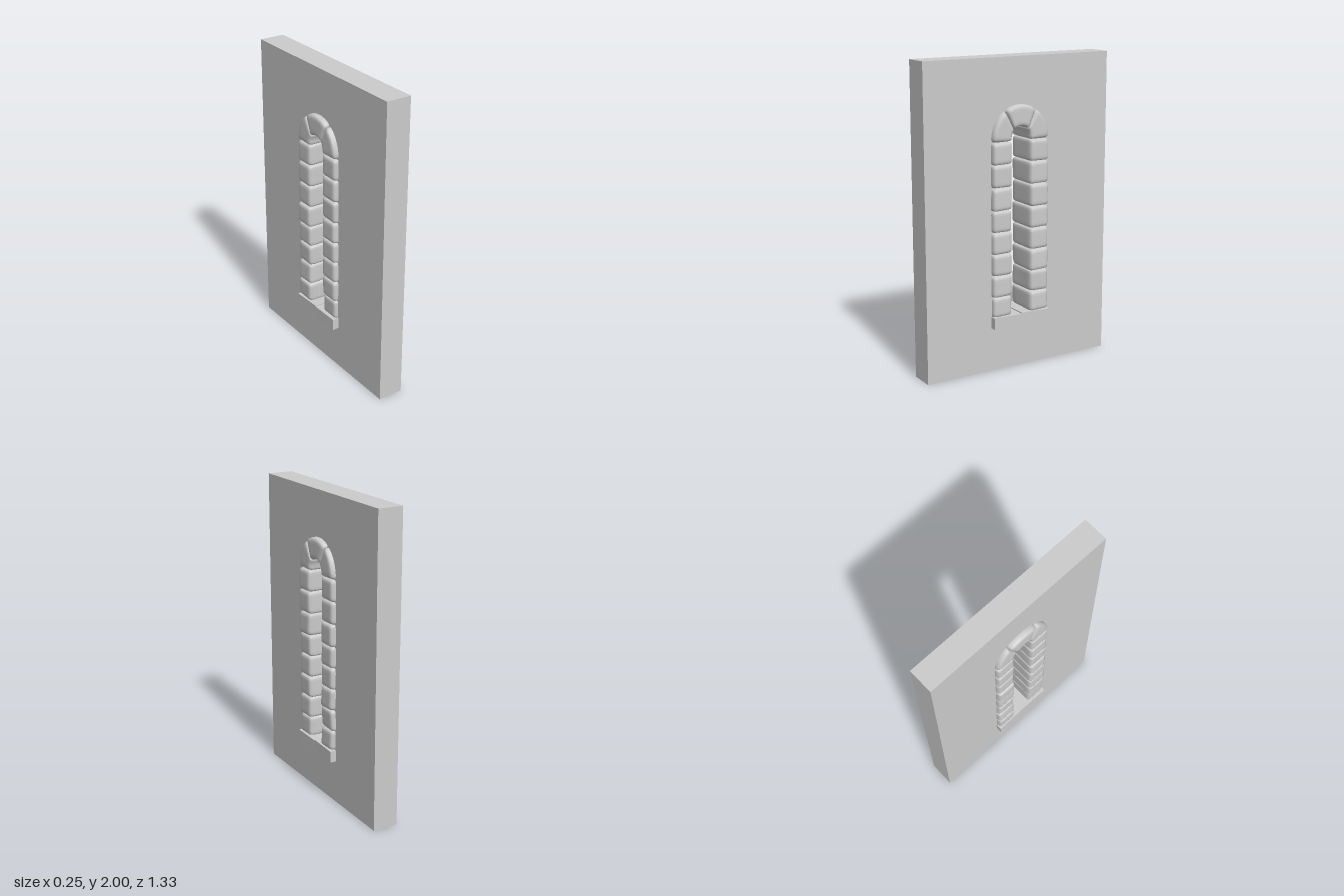
import * as THREE from 'three';
import { mergeVertices } from 'three/addons/utils/BufferGeometryUtils.js';

const material = new THREE.MeshStandardMaterial({ color: 0xcccccc });
const SPRING = 1.48; // height where the arch starts

// Small seeded wobble in -1..1
let seed = 7;
function wobble() {
  seed = (seed * 16807) % 2147483647;
  return (seed / 2147483647) * 2 - 1;
}

function addMesh(parent, geometry, name) {
  const mesh = new THREE.Mesh(geometry, material);
  mesh.name = name;
  parent.add(mesh);
  return mesh;
}

// Softly rounded block in -1..1, bent into place by a rule (depth, along, outward) -> position
function stoneGeometry(place) {
  let geo = new THREE.BoxGeometry(2, 2, 2, 10, 12, 10);
  geo.deleteAttribute('uv');
  geo.deleteAttribute('normal');
  geo = mergeVertices(geo);
  const pos = geo.attributes.position;
  const p = new THREE.Vector3();
  for (let i = 0; i < pos.count; i++) {
    p.fromBufferAttribute(pos, i);
    const n = 10;
    const len = Math.pow(Math.abs(p.x) ** n + Math.abs(p.y) ** n + Math.abs(p.z) ** n, 1 / n);
    p.divideScalar(len);
    pos.setXYZ(i, ...place(p.x, p.y, p.z));
  }
  geo.computeVertexNormals();
  return geo;
}

// Point on a slightly squared half ellipse above the spring line
function archPoint(angle, a, b, power) {
  const c = Math.cos(angle), s = Math.sin(angle);
  return [
    Math.sign(c) * a * Math.abs(c) ** power,
    SPRING + Math.sign(s) * b * Math.abs(s) ** power,
  ];
}

// Wall slab with an arched opening hidden behind the stones
function wallGeometry() {
  const shape = new THREE.Shape();
  shape.moveTo(-0.665, 0).lineTo(0.665, 0).lineTo(0.665, 2).lineTo(-0.665, 2).closePath();
  const hole = new THREE.Path();
  hole.moveTo(-0.135, 0.32);
  hole.lineTo(-0.135, SPRING);
  hole.absellipse(0, SPRING, 0.135, 0.155, Math.PI, 0, true);
  hole.lineTo(0.135, 0.32);
  hole.closePath();
  shape.holes.push(hole);
  const geo = new THREE.ExtrudeGeometry(shape, { depth: 0.166, bevelEnabled: false, curveSegments: 24 });
  return geo.translate(0, 0, -0.083).rotateY(-Math.PI / 2);
}

// Stacked stones on both sides of the opening
function addJambs(group) {
  const rows = [0.36, 0.49, 0.63, 0.77, 0.91, 1.05, 1.195, 1.34, 1.48];
  for (const side of [1, -1]) {
    for (let i = 0; i < rows.length - 1; i++) {
      const mid = (rows[i] + rows[i + 1]) / 2;
      const half = (rows[i + 1] - rows[i]) / 2;
      const depth = 0.115 + 0.004 * wobble();
      const shift = 0.003 * wobble();
      const tilt = 0.003 * wobble();
      const width = 0.068 + 0.002 * wobble();
      const geo = stoneGeometry((x, y, z) => [
        x * depth + shift + tilt * y,
        mid + y * half + tilt * z,
        side * 0.136 + z * width + tilt * y * x,
      ]);
      addMesh(group, geo, `${side > 0 ? 'front' : 'back'}JambStone${i + 1}`);
    }
  }
}

// Two curved shoulder stones and a wedge keystone
function addArch(group) {
  const rad = Math.PI / 180;
  const stones = [
    { name: 'frontShoulderStone', inner: [0, 45], outer: [0, 58], depth: 0.117 },
    { name: 'keystone', inner: [45, 135], outer: [58, 122], depth: 0.12 },
    { name: 'backShoulderStone', inner: [135, 180], outer: [122, 180], depth: 0.115 },
  ];
  for (const { name, inner, outer, depth } of stones) {
    const geo = stoneGeometry((x, y, z) => {
      const t = (y + 1) / 2;
      const k = (z + 1) / 2;
      const a = archPoint(THREE.MathUtils.lerp(...inner, t) * rad, 0.067, 0.09, 0.8);
      const b = archPoint(THREE.MathUtils.lerp(...outer, t) * rad, 0.204, 0.225, 0.96);
      return [
        x * depth,
        THREE.MathUtils.lerp(a[1], b[1], k),
        THREE.MathUtils.lerp(a[0], b[0], k),
      ];
    });
    addMesh(group, geo, name);
  }
}

// Two rough-cut slabs meeting in the middle
function addSill(group) {
  for (const side of [1, -1]) {
    const geo = new THREE.BoxGeometry(0.248, 0.076, 0.206);
    const pos = geo.attributes.position;
    for (let i = 0; i < pos.count; i++) {
      const outerEnd = pos.getZ(i) * side > 0;
      const skew = outerEnd ? 0.002 : -0.003;
      pos.setY(i, pos.getY(i) + skew * side);
      if (!outerEnd) pos.setX(i, pos.getX(i) * 0.98);
    }
    geo.computeVertexNormals();
    const slab = addMesh(group, geo, side > 0 ? 'frontSillSlab' : 'backSillSlab');
    slab.position.set(0, 0.323, side * 0.103);
  }
}

export function createModel() {
  const model = new THREE.Group();
  model.name = 'wallWithArchedWindow';
  addMesh(model, wallGeometry(), 'wall');

  const surround = new THREE.Group();
  surround.name = 'windowSurround';
  addJambs(surround);
  addArch(surround);
  addSill(surround);
  model.add(surround);
  return model;
}
